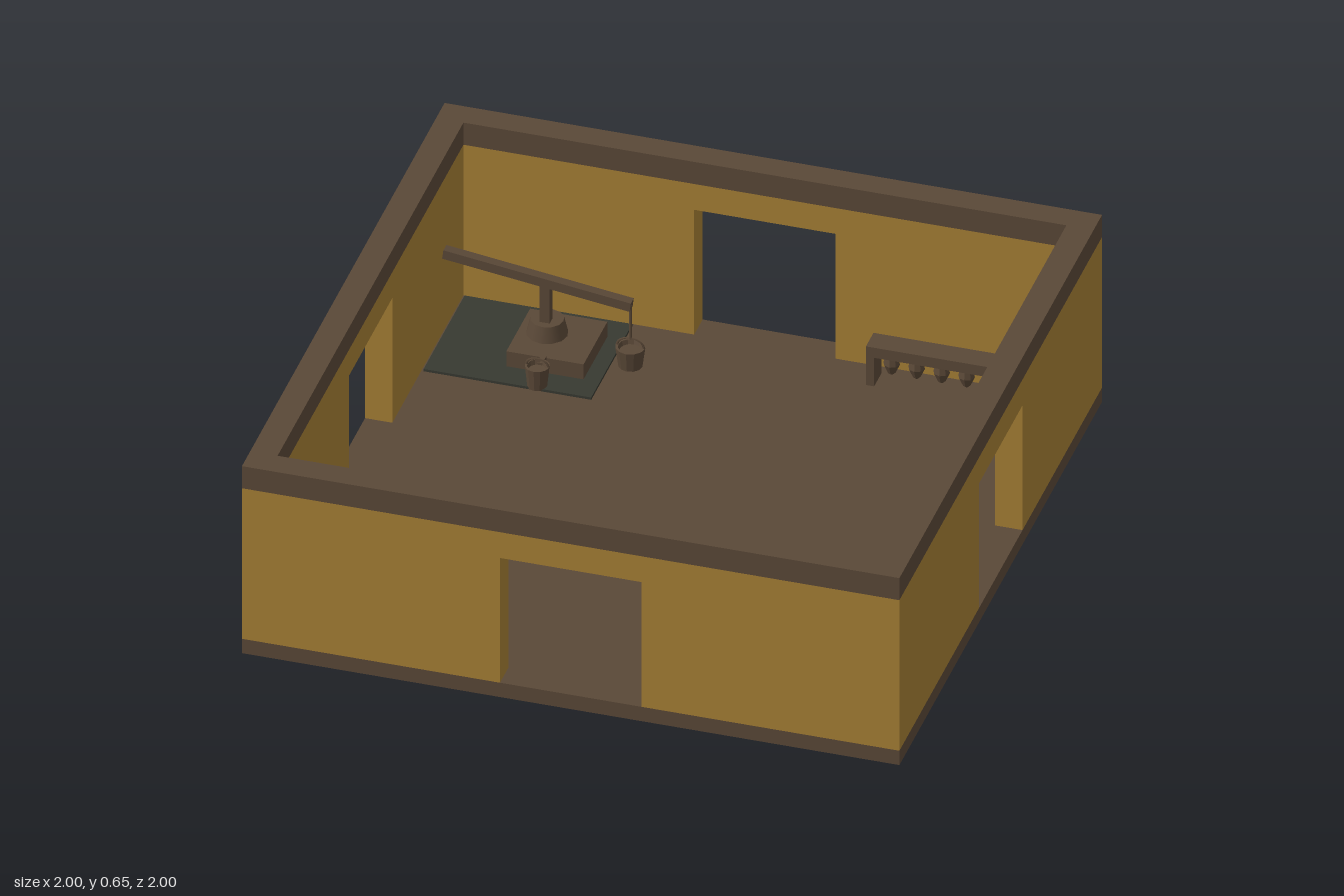
import * as THREE from 'three';

const mat = (name, color, side = THREE.FrontSide) => {
  const m = new THREE.MeshStandardMaterial({ color, side });
  m.name = name;
  return m;
};

export function createModel() {
  const wood = mat('brown wood', 0x5a4837);
  const bucketWood = mat('bucket wood', 0x5a4837, THREE.DoubleSide);
  const plaster = mat('ochre plaster', 0xa67f35);
  const slate = mat('dark slate', 0x373931);
  const clay = mat('red clay', 0xa03c24, THREE.DoubleSide);
  const root = new THREE.Group();

  const add = (parent, name, geo, material, x = 0, y = 0, z = 0) => {
    const mesh = new THREE.Mesh(geo, material);
    mesh.name = name;
    mesh.position.set(x, y, z);
    parent.add(mesh);
    return mesh;
  };
  const box = (parent, name, w, h, d, m, x, y, z) =>
    add(parent, name, new THREE.BoxGeometry(w, h, d), m, x, y, z);
  const group = (name, x, y, z) => {
    const g = new THREE.Group();
    g.name = name;
    g.position.set(x, y, z);
    root.add(g);
    return g;
  };
  const lathe = (pts, sides) => {
    const geo = new THREE.LatheGeometry(pts.map(p => new THREE.Vector2(...p)), sides).toNonIndexed();
    geo.computeVertexNormals();
    return geo;
  };

  const F = 0.05; // floor level

  // Floor slab
  box(root, 'floor', 2, F, 2, wood, 0, F / 2, 0);

  // Square rings with a doorway through the middle of every side
  const ring = (name, y, h, m) => {
    const s = new THREE.Shape([[-1, -1], [1, -1], [1, 1], [-1, 1]].map(p => new THREE.Vector2(...p)));
    const i = 0.917;
    s.holes.push(new THREE.Path([[-i, -i], [-i, i], [i, i], [i, -i]].map(p => new THREE.Vector2(...p))));
    const geo = new THREE.ExtrudeGeometry(s, { depth: h, bevelEnabled: false });
    geo.rotateX(-Math.PI / 2);
    add(root, name, geo, m, 0, y, 0);
  };
  ring('lintelWalls', 0.485, 0.09, plaster);
  ring('topTrim', 0.575, 0.077, wood);

  // L-shaped corner walls between the doorways
  for (let k = 0; k < 4; k++) {
    const pts = [[0.215, 0.917], [0.917, 0.917], [0.917, 0.215], [1, 0.215], [1, 1], [0.215, 1]];
    const geo = new THREE.ExtrudeGeometry(
      new THREE.Shape(pts.map(p => new THREE.Vector2(...p))), { depth: 0.435, bevelEnabled: false });
    geo.rotateX(-Math.PI / 2).rotateY(k * Math.PI / 2);
    add(root, 'cornerWall', geo, plaster, 0, F, 0);
  }

  // Well: slate bed, stepped base, post and tilted beam
  const well = group('well', 0, F, 0);
  box(well, 'slateBed', 0.51, 0.008, 0.405, slate, -0.655, 0.004, -0.703);
  box(well, 'base', 0.235, 0.06, 0.235, wood, -0.567, 0.03, -0.703);
  add(well, 'collar', new THREE.CylinderGeometry(0.05, 0.062, 0.05, 12), wood, -0.6, 0.085, -0.715);
  box(well, 'post', 0.03, 0.15, 0.03, wood, -0.6, 0.17, -0.705);
  const beam = box(well, 'beam', 0.575, 0.03, 0.03, wood, -0.625, 0.25, -0.705);
  beam.rotation.z = -0.13;

  // Buckets, one hanging from the beam
  const bucket = (name, x, z, r, h) => {
    const g = group(name, x, F, z);
    add(g, 'tub', lathe([[0, 0.004], [r * 0.8, 0.004], [r, h], [r * 0.82, h], [r * 0.72, h * 0.8], [0, h * 0.8]], 12), bucketWood);
    const handle = add(g, 'handle', new THREE.TorusGeometry(r * 0.9, 0.004, 4, 12, Math.PI), wood, 0, h, 0);
    handle.scale.y = 0.7;
    return g;
  };
  const hung = bucket('hangingBucket', -0.343, -0.703, 0.045, 0.07);
  add(hung, 'rope', new THREE.CylinderGeometry(0.004, 0.004, 0.115, 6), wood, 0, 0.153, 0);
  const jug = bucket('smallBucket', -0.57, -0.52, 0.037, 0.075);
  box(jug, 'spout', 0.016, 0.016, 0.04, wood, 0, 0.06, -0.045);

  // Clay pots
  for (const [x, z] of [[-0.787, 0.563], [-0.768, 0.763], [-0.583, 0.795]]) {
    const pot = group('clayPot', x, F, z);
    add(pot, 'potBody', lathe([[0, 0.001], [0.032, 0.001], [0.046, 0.03], [0.052, 0.06], [0.046, 0.09],
      [0.04, 0.105], [0.033, 0.105], [0.033, 0.09]], 12), clay);
    add(pot, 'potContents', new THREE.CylinderGeometry(0.034, 0.034, 0.006, 12), wood, 0, 0.093, 0);
  }

  // Stool
  const stool = group('stool', -0.44, F, 0.563);
  box(stool, 'seat', 0.105, 0.025, 0.105, wood, 0, 0.123, 0);
  for (const sx of [-1, 1]) for (const sz of [-1, 1])
    box(stool, 'stoolLeg', 0.02, 0.112, 0.02, wood, sx * 0.036, 0.056, sz * 0.036);

  // Racks with a row of hanging bundles
  for (const s of [-1, 1]) {
    const rack = group('rack', 0.597, F, s * 0.848);
    box(rack, 'rackBar', 0.514, 0.035, 0.075, wood, 0, 0.117, 0);
    for (const e of [-1, 1]) box(rack, 'rackLeg', 0.025, 0.1, 0.075, wood, e * 0.2445, 0.05, 0);
    for (let i = 0; i < 6; i++)
      add(rack, 'hangingBundle', lathe([[0, 0.025], [0.012, 0.035], [0.025, 0.065], [0.02, 0.09], [0.008, 0.1]], 8),
        wood, -0.19 + i * 0.076, 0, 0);
  }
  return root;
}
